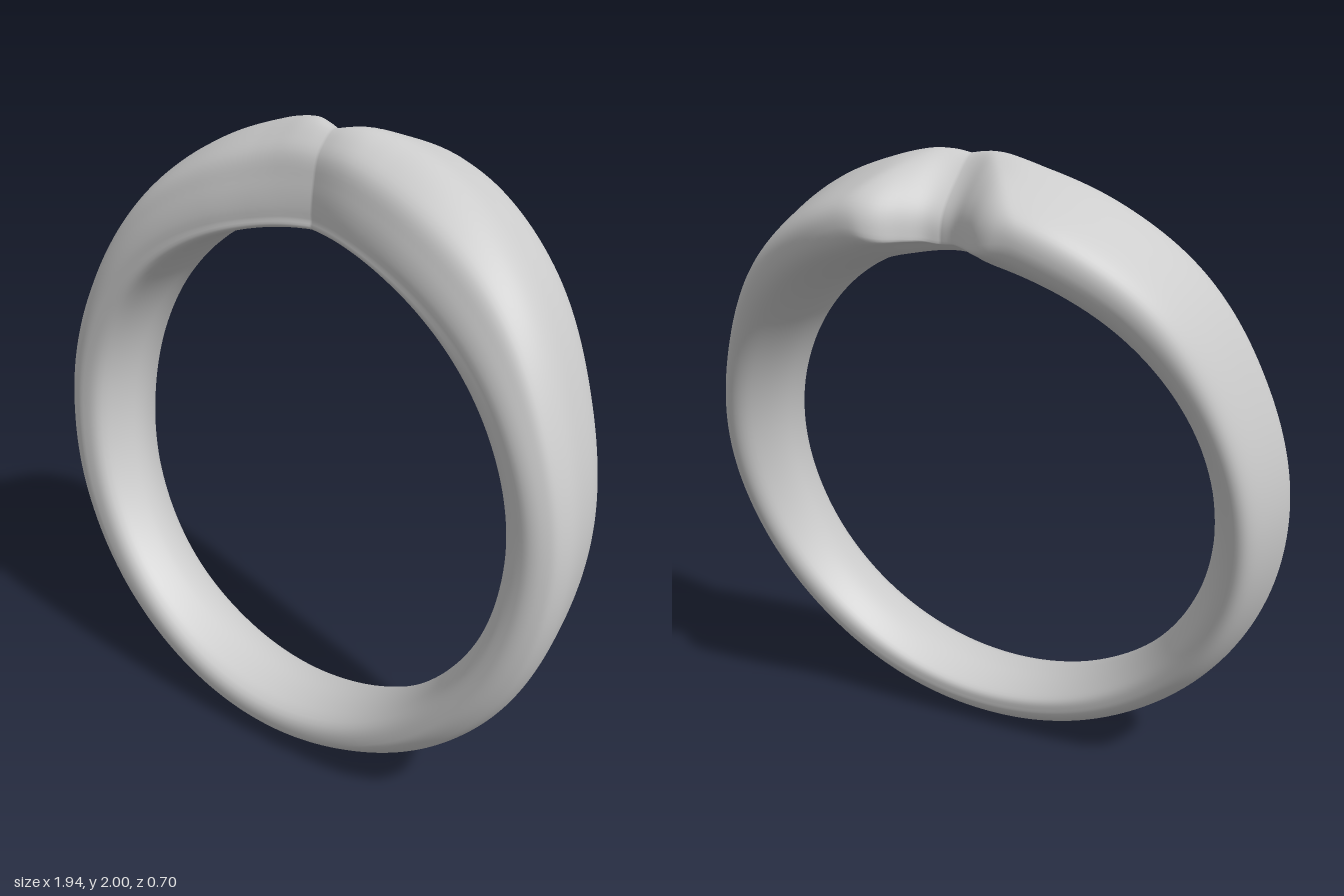
import * as THREE from 'three';

// Band dimensions keyed by angle from the top, in degrees
const angles = [0, 3, 6, 10, 14, 25, 42, 65, 90, 112, 135, 158, 180];
const frontZ = [0.07, 0.08, 0.09, 0.103, 0.115, 0.145, 0.18, 0.217, 0.25, 0.287, 0.32, 0.342, 0.35];
const backZ = [-0.235, -0.248, -0.285, -0.335, -0.352, -0.336, -0.268, -0.172, -0.09, -0.02, 0.03, 0.052, 0.06];
const outerR = [1.055, 1.062, 1.066, 1.062, 1.056, 1.046, 1.026, 0.98, 0.97, 0.962, 0.952, 0.94, 0.935];
const innerR = 0.77, centerY = 0.935;

// Cross-sections: [front to back, inside to outside], both 0..1
const topSection = [[0, 0.12], [0.03, 0.48], [0.14, 0.82], [0.4, 1], [0.67, 0.9],
  [0.92, 0.74], [1, 0.52], [0.93, 0.22], [0.6, 0.02], [0.03, 0]];
const sideSection = [[0, 0.5], [0.05, 0.8], [0.15, 0.95], [0.3, 1], [0.6, 0.92],
  [0.9, 0.77], [1, 0.57], [0.9, 0.26], [0.5, 0], [0.13, 0.12]];
const bottomSection = [[0, 0.55], [0.12, 0.78], [0.3, 0.93], [0.55, 1], [0.8, 0.87],
  [0.95, 0.68], [1, 0.45], [0.93, 0.18], [0.55, 0], [0.15, 0.08]];

const { lerp, smoothstep } = THREE.MathUtils;

// Smooth interpolation of a keyed dimension, level at the bottom
function sample(values, deg) {
  const last = angles.length - 1;
  let i = 0;
  while (i < last - 1 && deg > angles[i + 1]) i++;
  const slope = (k) => {
    if (k === last) return 0;
    const a = Math.max(k - 1, 0), b = k + 1;
    return (values[b] - values[a]) / (angles[b] - angles[a]);
  };
  const h = angles[i + 1] - angles[i], t = (deg - angles[i]) / h;
  const t2 = t * t, t3 = t2 * t;
  return (2 * t3 - 3 * t2 + 1) * values[i] + (t3 - 2 * t2 + t) * h * slope(i)
    + (3 * t2 - 2 * t3) * values[i + 1] + (t3 - t2) * h * slope(i + 1);
}

// Closed section of the band at a signed angle
function sectionAt(angle, count) {
  const a = Math.abs(angle), deg = THREE.MathUtils.radToDeg(a), c = Math.cos(a);
  const zF = sample(frontZ, deg), zB = sample(backZ, deg), rO = sample(outerR, deg);
  const toSide = smoothstep(deg, 10, 85), toBottom = smoothstep(deg, 95, 175);
  const points = sideSection.map((side, k) => {
    const [t, s] = side.map((v, n) =>
      lerp(lerp(topSection[k][n], v, toSide), bottomSection[k][n], toBottom));
    return new THREE.Vector3(lerp(innerR, rO, s), lerp(zF, zB, t), s);
  });
  const curve = new THREE.CatmullRomCurve3(points, true, 'centripetal');
  return Array.from({ length: count }, (_, j) => {
    const p = curve.getPoint(j / count);
    const x = p.x * Math.sin(angle);
    let y = centerY + p.x * c;
    // Valley between the two lobes, widening and deepening to the back
    if (c > 0 && p.y < -0.03) {
      const width = 0.04 - 0.7 * p.y;
      const near = 1 - smoothstep(Math.abs(x), 0, width);
      y -= 0.38 * (-0.03 - p.y) * near * smoothstep(p.z, 0.1, 0.5);
    }
    return [x, y, p.y];
  });
}

function bandGeometry() {
  const half = 130, rings = half * 2, sides = 60;
  const positions = [], index = [];
  for (let i = 0; i < rings; i++) {
    // Rings lie closer together near the top
    const u = i / half - 1;
    const angle = Math.sign(u) * Math.PI * Math.pow(Math.abs(u), 1.3);
    for (const p of sectionAt(angle, sides)) positions.push(...p);
    for (let j = 0; j < sides; j++) {
      const i2 = (i + 1) % rings, j2 = (j + 1) % sides;
      const a = i * sides + j, b = i2 * sides + j, c = i * sides + j2, d = i2 * sides + j2;
      index.push(a, b, c, b, d, c);
    }
  }
  const geometry = new THREE.BufferGeometry();
  geometry.setAttribute('position', new THREE.Float32BufferAttribute(positions, 3));
  geometry.setIndex(index);
  geometry.computeVertexNormals();
  return geometry;
}

export function createModel() {
  const metal = new THREE.MeshStandardMaterial({ color: 0xcccccc });
  metal.name = 'light grey metal';
  const band = new THREE.Mesh(bandGeometry(), metal);
  band.name = 'heartShapedBand';
  const group = new THREE.Group();
  group.name = 'ring';
  group.add(band);
  return group;
}
